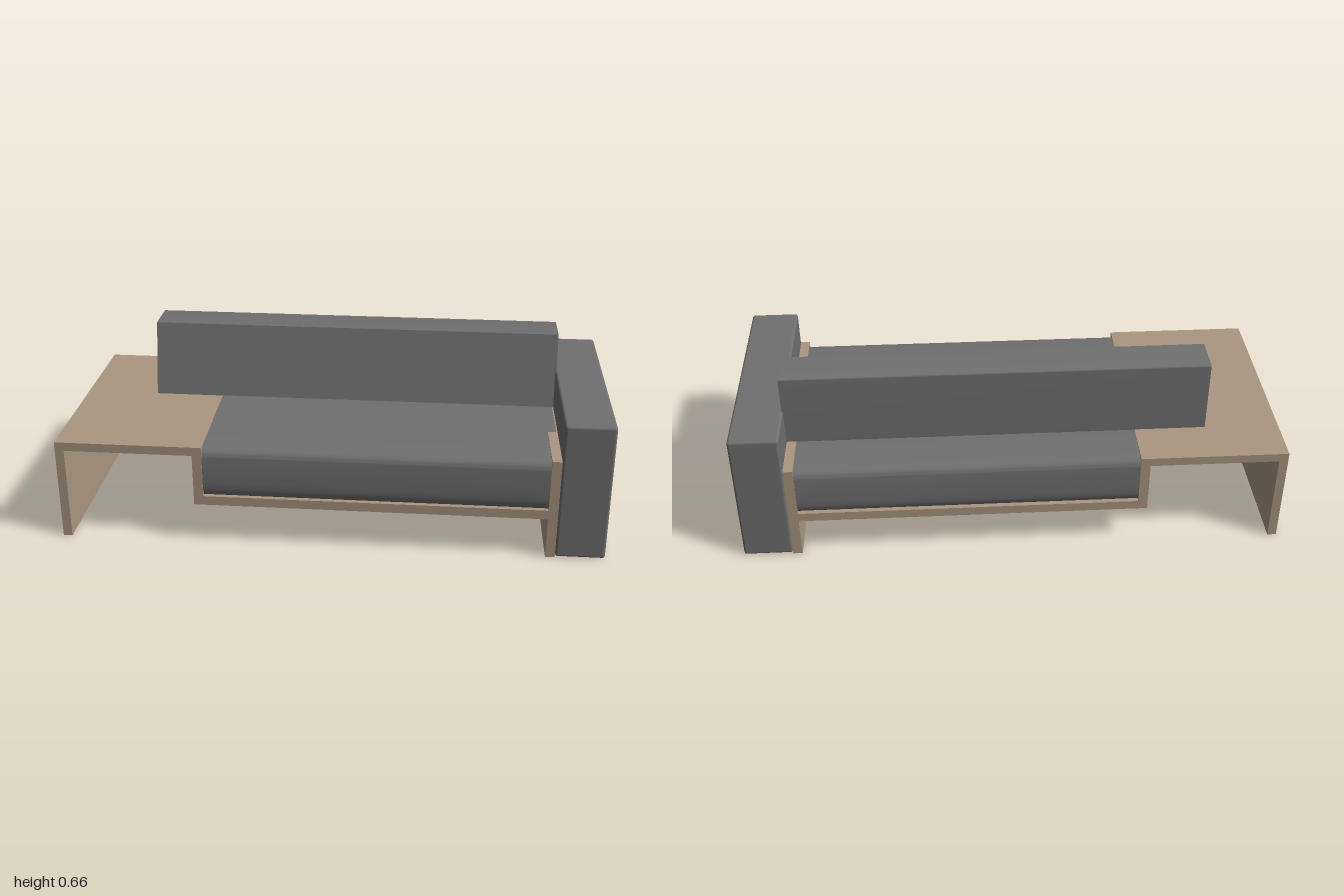
import * as THREE from 'three';
import { RoundedBoxGeometry } from 'three/addons/geometries/RoundedBoxGeometry.js';
import { toCreasedNormals } from 'three/addons/utils/BufferGeometryUtils.js';

const DEPTH = 0.86;

export function createModel() {
  const group = new THREE.Group();
  const wood = new THREE.MeshStandardMaterial({ color: 0xab9781 });
  wood.name = 'tan wood';
  const fabric = new THREE.MeshStandardMaterial({ color: 0x707070 });
  fabric.name = 'grey fabric';

  const add = (name, geometry, material, x = 0, y = 0, z = 0) => {
    const mesh = new THREE.Mesh(geometry, material);
    mesh.name = name;
    mesh.position.set(x, y, z);
    group.add(mesh);
    return mesh;
  };

  // Extrude a (z, y) profile along x, from x0 to x1
  const alongX = (shape, x0, x1) => {
    const g = new THREE.ExtrudeGeometry(shape, { depth: x1 - x0, bevelEnabled: false, curveSegments: 8 });
    g.rotateY(-Math.PI / 2);
    return toCreasedNormals(g.translate(x1, 0, 0), 0.6);
  };

  // Continuous wooden frame: table leg, table top, step down, seat board, end panel
  const outline = [
    [-1, 0], [-0.967, 0], [-0.967, 0.352], [-0.497, 0.352], [-0.497, 0.155], [0.785, 0.155],
    [0.785, 0], [0.82, 0], [0.82, 0.385], [0.785, 0.385], [0.785, 0.19], [-0.462, 0.19],
    [-0.462, 0.385], [-1, 0.385],
  ].map(([x, y]) => new THREE.Vector2(x, y));
  const frame = new THREE.ExtrudeGeometry(new THREE.Shape(outline), { depth: DEPTH, bevelEnabled: false });
  add('frame', frame, wood, 0, 0, -DEPTH / 2);

  // Upright brace under the table top
  add('tableBrace', new THREE.BoxGeometry(0.47, 0.197, 0.035), wood, -0.732, 0.2535, 0);

  // Seat cushion with softly bulged sides and a very slight crown
  const seat = new THREE.Shape();
  seat.moveTo(-0.412, 0.19);
  seat.lineTo(0.412, 0.19);
  seat.quadraticCurveTo(0.428, 0.2, 0.428, 0.25);
  seat.lineTo(0.427, 0.345);
  seat.quadraticCurveTo(0.425, 0.375, 0.385, 0.38);
  seat.quadraticCurveTo(0.08, 0.392, -0.385, 0.38);
  seat.quadraticCurveTo(-0.425, 0.375, -0.427, 0.345);
  seat.lineTo(-0.428, 0.25);
  seat.quadraticCurveTo(-0.428, 0.2, -0.412, 0.19);
  add('seatCushion', alongX(seat, -0.464, 0.815), fabric);

  // Wedge backrest with a leaning front and a softened rear top edge
  const back = new THREE.Shape();
  back.moveTo(-0.25, 0.384);
  back.lineTo(-0.041, 0.384);
  back.lineTo(-0.105, 0.659);
  back.lineTo(-0.244, 0.659);
  back.quadraticCurveTo(-0.25, 0.659, -0.25, 0.653);
  back.closePath();
  add('backrest', alongX(back, -0.725, 0.825), fabric);

  // Block armrest
  add('armrest', new RoundedBoxGeometry(0.18, 0.521, DEPTH, 3, 0.01), fabric, 0.91, 0.2625, 0);

  return group;
}
